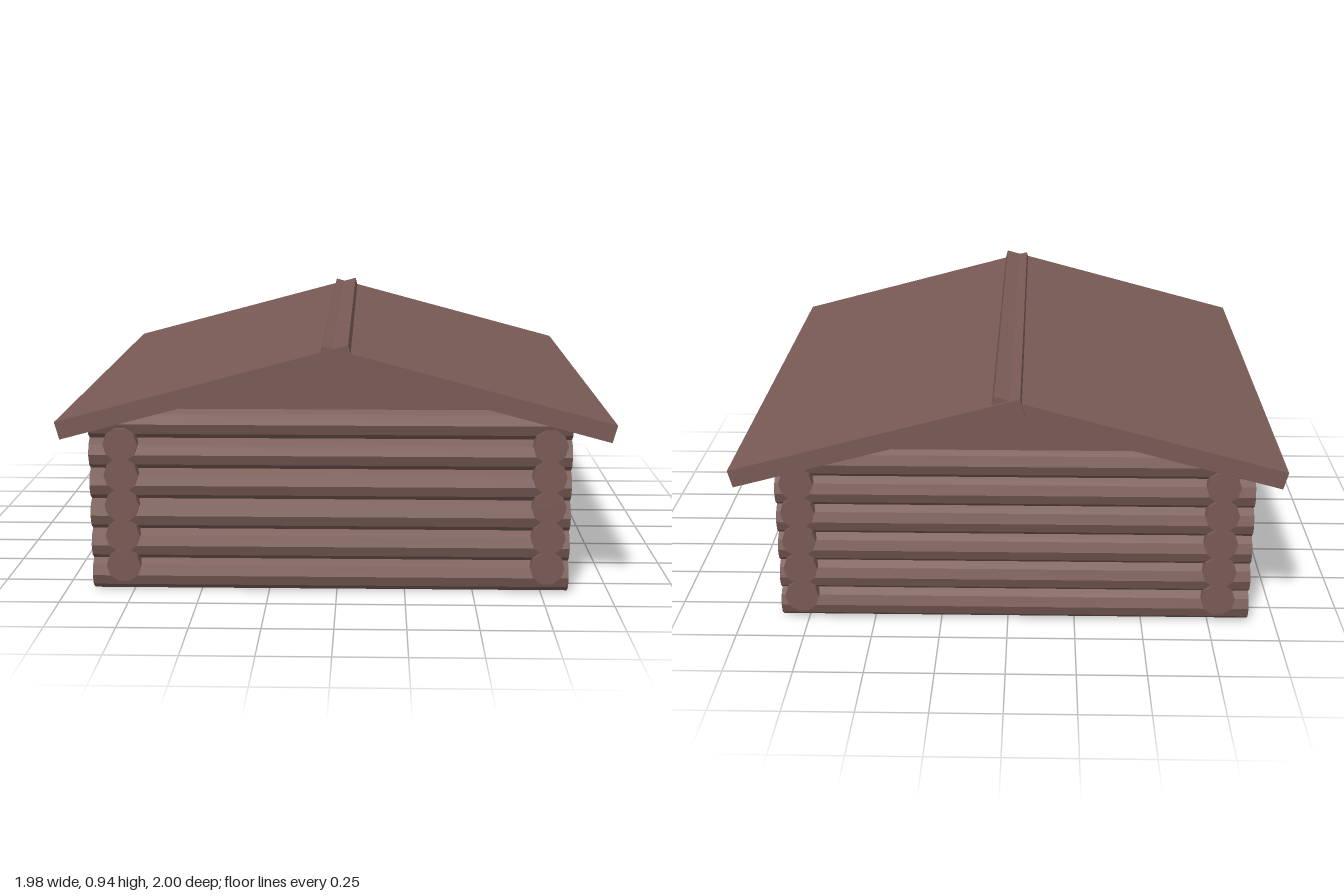
import * as THREE from 'three';

export function createModel() {
  const cabin = new THREE.Group();
  cabin.name = 'logCabin';
  const wood = new THREE.MeshStandardMaterial({ color: 0x785a55 });
  wood.name = 'brown wood';

  const add = (name, geometry, x, y, z) => {
    const flat = geometry.index ? geometry.toNonIndexed() : geometry;
    flat.computeVertexNormals();
    const mesh = new THREE.Mesh(flat, wood);
    mesh.name = name;
    mesh.position.set(x, y, z);
    cabin.add(mesh);
    return mesh;
  };

  // Ten-sided logs with a flat facet on top and bottom
  const radius = 0.063, pitch = 0.114;
  const logAlongX = (name, x0, x1, y, z) => {
    const g = new THREE.CylinderGeometry(radius, radius, x1 - x0, 10);
    add(name, g.rotateZ(Math.PI / 2), (x0 + x1) / 2, y, z);
  };
  const logAlongZ = (name, z0, z1, x, y) => {
    const g = new THREE.CylinderGeometry(radius, radius, z1 - z0, 10);
    add(name, g.rotateY(Math.PI / 10).rotateX(Math.PI / 2), x, y, (z0 + z1) / 2);
  };

  // Front and back walls
  for (const z of [0.81, -0.81]) {
    for (let i = 0; i < 6; i++) logAlongX(z > 0 ? 'frontLog' : 'backLog', -0.9, 0.85, 0.06 + i * pitch, z);
  }

  // Side walls, with a doorway cut through the lower logs on one side
  for (let i = 0; i < 5; i++) {
    const y = 0.1 + i * pitch;
    logAlongZ('leftLog', -0.88, 0.88, 0.77, y);
    if (i < 4) {
      logAlongZ('rightLog', -0.88, 0.35, -0.783, y);
      logAlongZ('doorSideLog', 0.62, 0.88, -0.783, y);
    } else {
      logAlongZ('rightLog', -0.88, 0.88, -0.783, y);
    }
  }

  // Floor
  add('floor', new THREE.BoxGeometry(1.6, 0.03, 1.62), -0.01, 0.04, 0);

  // Triangular gables under the roof
  const triangle = new THREE.Shape([
    new THREE.Vector2(-0.86, 0.635),
    new THREE.Vector2(0.86, 0.635),
    new THREE.Vector2(0, 0.87),
  ]);
  for (const z of [0.81, -0.81]) {
    const g = new THREE.ExtrudeGeometry(triangle, { depth: 0.06, bevelEnabled: false });
    add('gable', g, -0.008, 0, z - 0.03);
  }

  // Two roof panels that cross at the ridge, slightly offset along it
  const slope = THREE.MathUtils.degToRad(15);
  const panel = (name, x, y, z, angle) => {
    add(name, new THREE.BoxGeometry(1.07, 0.065, 1.99), x, y, z).rotation.z = angle;
  };
  panel('rightRoofPanel', -0.465, 0.773, 0.005, slope);
  panel('leftRoofPanel', 0.461, 0.768, -0.006, -slope);

  return cabin;
}
